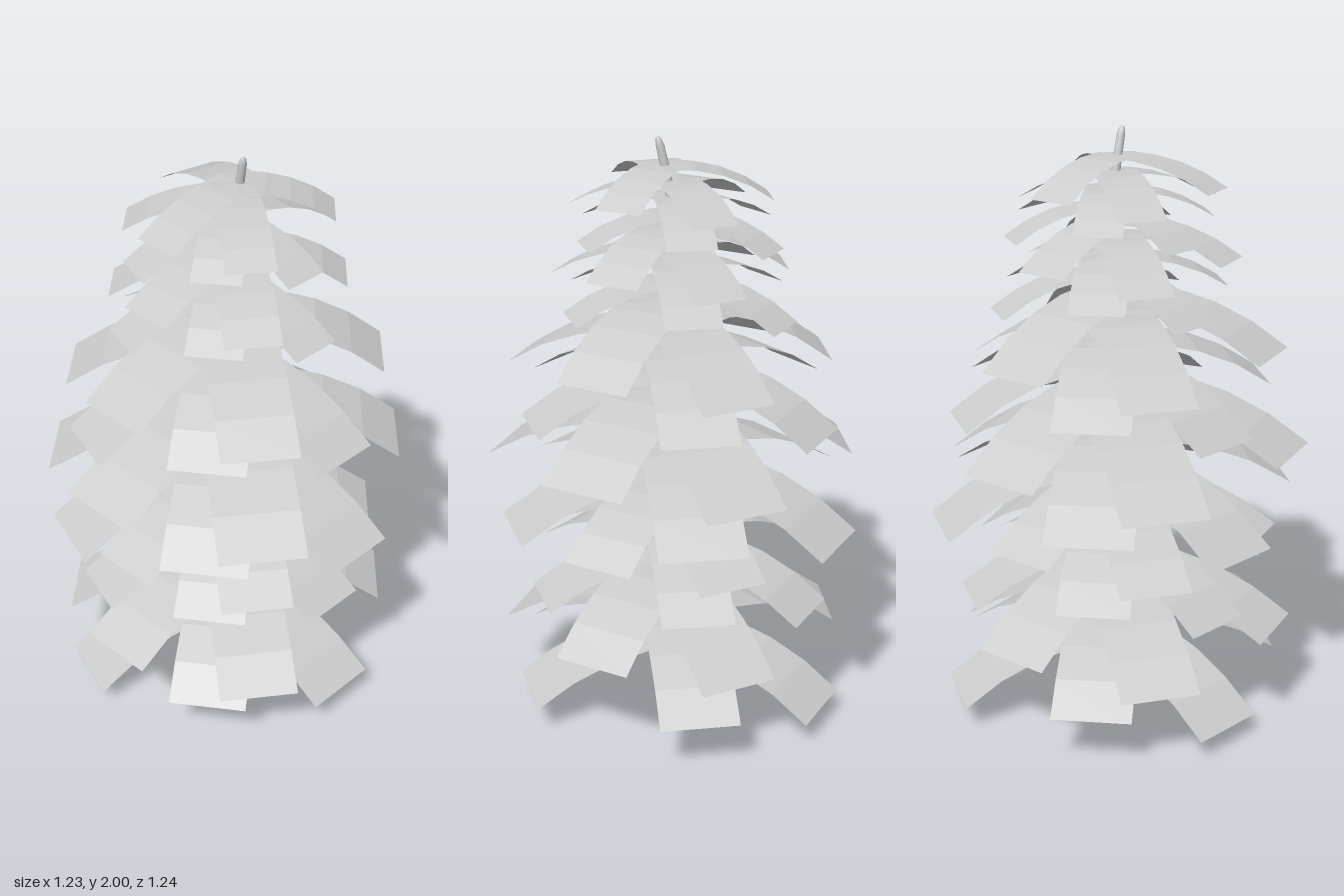
import * as THREE from 'three';

const material = new THREE.MeshStandardMaterial({ color: 0xcccccc });
const leafMaterial = new THREE.MeshStandardMaterial({ color: 0xcccccc, flatShading: true, side: THREE.DoubleSide });

// Drooping rectangular strip, running out along +x from the stem
function leafGeometry(length, width, drop) {
  const g = new THREE.PlaneGeometry(1, width, 4, 1).rotateX(-Math.PI / 2);
  const p = g.attributes.position;
  for (let i = 0; i < p.count; i++) {
    const t = p.getX(i) + 0.5;
    p.setX(i, length * (t * 1.12 - 0.12 * t * t));
    p.setY(i, -drop * Math.pow(t, 2.1));
  }
  g.computeVertexNormals();
  return g;
}

// Tapered stem: a cylinder whose rings follow a bent centre line
function trunkGeometry() {
  // height, radius, z of the centre line
  const rings = [
    [0, 0.006, -0.03], [0.008, 0.018, -0.03], [0.03, 0.026, -0.03], [0.18, 0.031, -0.03],
    [0.3, 0.028, -0.03], [0.6, 0.024, -0.03], [1.0, 0.021, -0.03], [1.4, 0.019, -0.028],
    [1.75, 0.016, -0.015], [1.88, 0.015, 0.008], [1.97, 0.014, 0.028], [1.99, 0.011, 0.033], [2, 0.004, 0.035],
  ];
  const g = new THREE.CylinderGeometry(1, 1, 1, 16, rings.length - 1);
  const p = g.attributes.position;
  for (let i = 0; i < p.count; i++) {
    const [y, r, z] = rings[Math.round((p.getY(i) + 0.5) * (rings.length - 1))];
    p.setXYZ(i, 0.033 + p.getX(i) * r, y, z + p.getZ(i) * r);
  }
  g.computeVertexNormals();
  return g;
}

export function createModel() {
  const model = new THREE.Group();
  model.name = 'tree';

  const trunk = new THREE.Mesh(trunkGeometry(), material);
  trunk.name = 'trunk';
  model.add(trunk);

  // Four whorls of three leaves, repeated up the stem
  // each leaf: direction in degrees, length factor, droop factor
  const whorls = [
    { z: -0.04, leaves: [[60, 0.97, 1.1], [177, 1.005, 1.18], [286, 0.975, 1]] },
    { z: -0.025, leaves: [[6.5, 0.95, 1.06], [125.4, 0.985, 1.05], [231.5, 0.98, 1]] },
    { z: -0.015, leaves: [[23.7, 0.88, 0.95], [147.7, 1.025, 1.08], [249, 1.03, 1]] },
    { z: 0.012, leaves: [[94, 1.01, 1.14], [195.8, 1.045, 1], [329.3, 0.89, 1]] },
  ];
  // Each tier of four whorls: start height, leaf length, droop
  const tiers = [
    [0.27, 0.565, 0.168], [0.6, 0.51, 0.148], [0.905, 0.605, 0.18],
    [1.245, 0.53, 0.163], [1.54, 0.385, 0.108], [1.76, 0.335, 0.092],
  ];
  tiers.forEach(([y, length, drop], k) => {
    const nextY = k + 1 < tiers.length ? tiers[k + 1][0] : 1.96;
    whorls.forEach(({ z, leaves }, w) => {
      const whorl = new THREE.Group();
      whorl.name = `leafWhorl${k * 4 + w + 1}`;
      whorl.position.set(0.03, y + (nextY - y) * w / 4, z);
      for (const [angle, reach, droop] of leaves) {
        const leaf = new THREE.Mesh(leafGeometry(length * reach, length * 0.47, drop * droop), leafMaterial);
        leaf.name = 'leaf';
        leaf.rotation.y = THREE.MathUtils.degToRad(angle);
        whorl.add(leaf);
      }
      model.add(whorl);
    });
  });
  return model;
}
